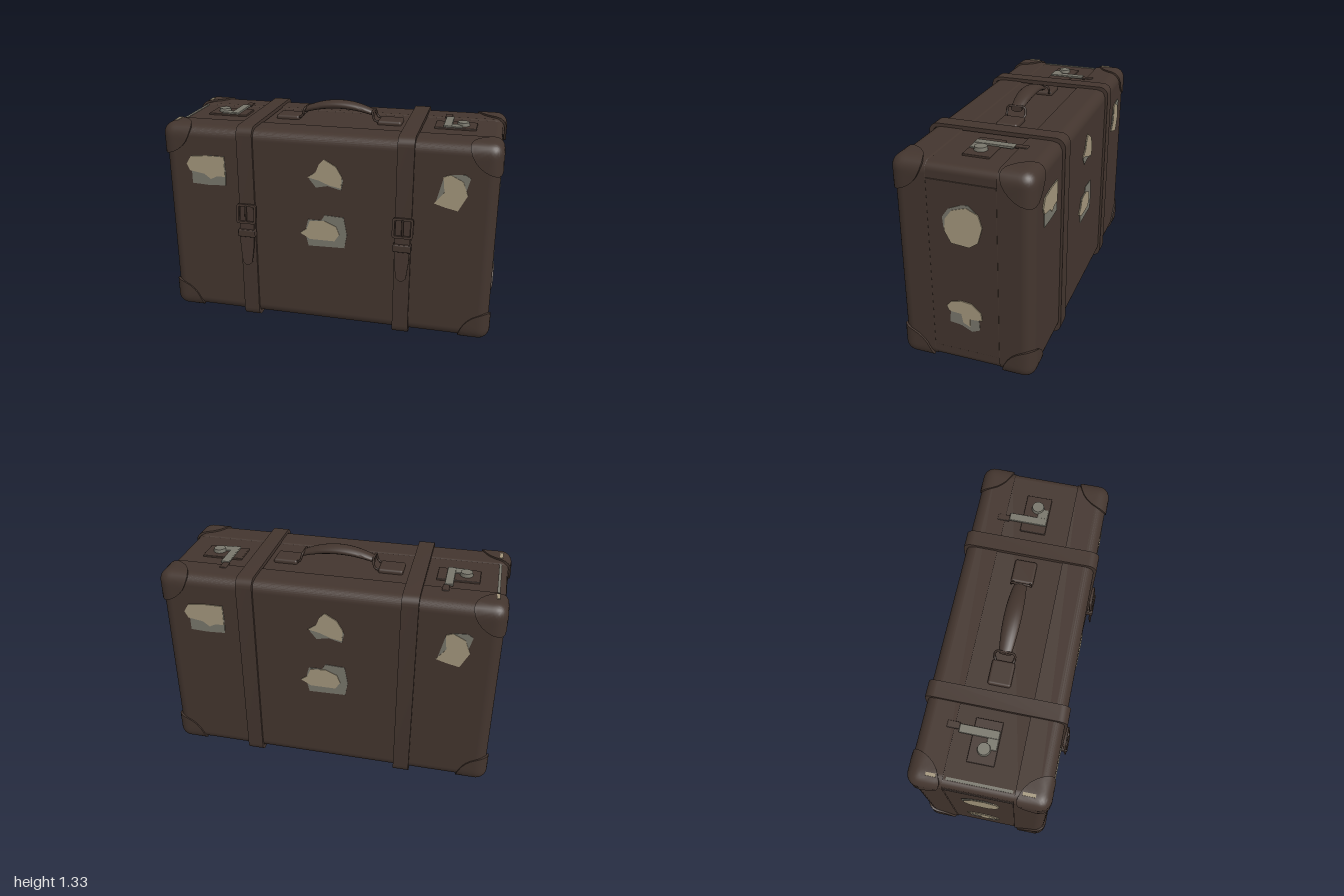
import * as THREE from 'three';
import { toCreasedNormals } from 'three/addons/utils/BufferGeometryUtils.js';
import { RoundedBoxGeometry } from 'three/addons/geometries/RoundedBoxGeometry.js';

const ZC = -0.0225, HALF_X = 0.987, HALF_Z = 0.3825, Y0 = 0.02, Y1 = 1.222;

export function createModel() {
  const suitcase = new THREE.Group();
  suitcase.name = 'suitcase';
  const mat = (name, color, side = THREE.FrontSide) => {
    const m = new THREE.MeshStandardMaterial({ color, side });
    m.name = name;
    return m;
  };
  const leather = mat('brown leather', 0x43352e, THREE.DoubleSide);
  const paper = mat('beige paper', 0xa3967c);
  const grey = mat('worn grey', 0x78766b);

  const add = (parent, name, geo, material, x = 0, y = 0, z = 0) => {
    const mesh = new THREE.Mesh(geo, material);
    mesh.name = name;
    mesh.position.set(x, y, z);
    parent.add(mesh);
    return mesh;
  };
  const box = (w, h, d, r = 0.006) => new RoundedBoxGeometry(w, h, d, 2, r);
  const poly = (pts) => new THREE.Shape(pts.map(([x, y]) => new THREE.Vector2(x, y)));
  const plate = (pts, depth) => new THREE.ExtrudeGeometry(poly(pts), { depth, bevelEnabled: false });
  const roundRect = (shape, w, h, r) => {
    shape.moveTo(-w + r, -h);
    shape.lineTo(w - r, -h).absarc(w - r, -h + r, r, -Math.PI / 2, 0);
    shape.lineTo(w, h - r).absarc(w - r, h - r, r, 0, Math.PI / 2);
    shape.lineTo(-w + r, h).absarc(-w + r, h - r, r, Math.PI / 2, Math.PI);
    shape.lineTo(-w, -h + r).absarc(-w + r, -h + r, r, Math.PI, Math.PI * 1.5);
    return shape;
  };
  // rectangular ring, lying in the xy plane
  const ring = (w, h, r, t, depth) => {
    const s = roundRect(new THREE.Shape(), w, h, r);
    s.holes.push(roundRect(new THREE.Path(), w - t, h - t, Math.max(r - t, 0.004)));
    return toCreasedNormals(new THREE.ExtrudeGeometry(s, { depth, bevelEnabled: false, curveSegments: 6 })
      .translate(0, 0, -depth / 2), 0.6);
  };
  const midY = (Y0 + Y1) / 2, H = Y1 - Y0;

  // Case: recessed middle with a rounded shell in front and behind
  add(suitcase, 'middleBody', new RoundedBoxGeometry(1.958, H - 0.024, 0.5, 3, 0.04), leather, 0, midY, ZC);
  for (const s of [1, -1]) {
    const geo = new RoundedBoxGeometry(HALF_X * 2, H, HALF_Z * 2, 5, 0.065);
    const p = geo.attributes.position;
    for (let i = 0; i < p.count; i++) p.setZ(i, s * Math.max(s * p.getZ(i), 0.193));
    add(suitcase, s > 0 ? 'frontShell' : 'backShell', geo, leather, 0, midY, ZC);
    add(suitcase, 'sidePanel', box(0.012, 1.02, 0.384, 0.003), leather, s * 0.978, midY, ZC);
  }

  // Corner caps: three quarter discs folded around a rounded corner
  const capGeometry = () => {
    const pos = [], index = [], N = 10, M = 8, R = 0.185, rad = 0.07;
    for (let f = 0; f < 3; f++) {
      const base = pos.length / 3;
      for (let i = 0; i <= N + 1; i++) for (let j = 0; j <= M; j++) {
        const r = R * Math.min(i, N) / N, a = j / M * Math.PI / 2;
        const v = [0, 0, 0];
        v[(f + 1) % 3] = r * Math.cos(a);
        v[(f + 2) % 3] = r * Math.sin(a);
        const q = v.map((c) => Math.max(c, rad));
        const d = new THREE.Vector3(...v.map((c, k) => c - q[k]));
        d.setLength(i > N ? rad - 0.016 : rad);
        pos.push(-q[0] - d.x, -q[1] - d.y, -q[2] - d.z);
      }
      for (let i = 0; i <= N; i++) for (let j = 0; j < M; j++) {
        const a = base + i * (M + 1) + j, b = a + M + 1;
        index.push(a, b, b + 1, a, b + 1, a + 1);
      }
    }
    const g = new THREE.BufferGeometry();
    g.setAttribute('position', new THREE.Float32BufferAttribute(pos, 3));
    g.setIndex(index);
    return g;
  };
  for (const sx of [1, -1]) for (const sy of [1, -1]) for (const sz of [1, -1]) {
    const g = capGeometry().scale(sx, sy, sz);
    if (sx * sy * sz < 0) g.index.array.reverse();
    add(suitcase, 'cornerCap', toCreasedNormals(g, 0.8), leather,
      sx * 0.9995, midY + sy * (H / 2 + 0.01), ZC + sz * (HALF_Z + 0.009));
  }

  // Straps with buckle, keeper and hanging tongue
  for (const x of [-0.476, 0.468]) {
    const strap = new THREE.Group();
    strap.name = 'strap';
    strap.position.x = x;
    suitcase.add(strap);
    add(strap, 'strapLoop', ring(HALF_Z + 0.015, 0.62, 0.055, 0.024, 0.096).rotateY(Math.PI / 2), leather, 0, 0.62, ZC);
    add(strap, 'buckleFrame', ring(0.061, 0.06, 0.016, 0.014, 0.018), leather, 0, 0.71, 0.39).rotation.x = -0.12;
    add(strap, 'bucklePin', box(0.012, 0.1, 0.012, 0.004), leather, 0, 0.715, 0.402);
    add(strap, 'keeper', box(0.106, 0.045, 0.045), leather, 0, 0.588, 0.389);
    // tongue cut from a plate, then bent away from the case
    const s = new THREE.Shape();
    s.moveTo(-0.042, 0.76).lineTo(-0.045, 0.6).lineTo(-0.042, 0.5).lineTo(-0.03, 0.4);
    s.quadraticCurveTo(0, 0.36, 0.03, 0.4).lineTo(0.042, 0.5).lineTo(0.045, 0.6).lineTo(0.042, 0.76);
    const tongue = new THREE.ExtrudeGeometry(s, { depth: 0.009, bevelEnabled: false });
    const p = tongue.attributes.position;
    for (let i = 0; i < p.count; i++) {
      const y = p.getY(i);
      p.setZ(i, p.getZ(i) + 0.386 + Math.max(0, 0.6 - y) * 0.08 - Math.max(0, y - 0.7) * 0.2);
    }
    tongue.computeVertexNormals();
    add(strap, 'strapTongue', tongue, leather);
  }

  // Handle: arched grip, wire loops and leather pads
  const handle = new THREE.Group();
  handle.name = 'handle';
  handle.position.z = -0.035;
  suitcase.add(handle);
  const grip = new THREE.CylinderGeometry(1, 1, 2, 16, 16).rotateZ(Math.PI / 2);
  const gp = grip.attributes.position;
  for (let i = 0; i < gp.count; i++) {
    const t = gp.getX(i), k = 1 - 0.3 * t * t;
    gp.setXYZ(i, t * 0.215, 1.307 - 0.042 * t * t + gp.getY(i) * 0.026 * k, gp.getZ(i) * 0.05 * k);
  }
  add(handle, 'grip', toCreasedNormals(grip, 0.8), leather);
  for (const s of [1, -1]) {
    const wire = new THREE.CatmullRomCurve3([[0.245, 1.225, -0.05], [0.225, 1.235, -0.056], [0.212, 1.275, -0.05],
      [0.21, 1.28, 0], [0.212, 1.275, 0.05], [0.225, 1.235, 0.056], [0.245, 1.225, 0.05]]
      .map(([x, y, z]) => new THREE.Vector3(s * x, y, z)));
    add(handle, 'handleWire', new THREE.TubeGeometry(wire, 32, 0.007, 6), leather);
    add(handle, 'handlePad', box(0.145, 0.035, 0.13, 0.014), leather, s * 0.315, 1.217, 0);
  }

  // Locks on the top
  for (const s of [1, -1]) {
    const lock = new THREE.Group();
    lock.name = 'lock';
    suitcase.add(lock);
    add(lock, 'lockPlate', box(0.245, 0.014, 0.15, 0.004), leather, s * 0.706, 1.214, -0.04);
    add(lock, 'latch', box(0.048, 0.014, 0.22, 0.004), grey, s * 0.66, 1.224, -0.08);
    add(lock, 'latchFoot', box(0.1, 0.012, 0.06, 0.004), grey, s * 0.695, 1.222, 0);
    add(lock, 'latchHook', box(0.04, 0.01, 0.07, 0.004), leather, s * 0.648, 1.222, -0.225);
    add(lock, 'lockKnob', new THREE.CylinderGeometry(0.034, 0.038, 0.024, 20), grey, s * 0.748, 1.23, -0.037);
  }

  // Worn streak along one top edge
  add(suitcase, 'wornEdge', new THREE.BoxGeometry(0.016, 0.006, 0.36), grey, -0.935, 1.211, -0.02);
  for (const [z, d] of [[-0.28, 0.055], [0.245, 0.07]])
    add(suitcase, 'wornPatch', new THREE.BoxGeometry(0.018, 0.006, d), paper, -0.935, 1.232, z);

  // Torn paper labels: a grey backing with a beige layer on top
  const faceLabels = [
    [[[-.82, .87], [-.72, .865], [-.61, .87], [-.605, .95], [-.61, 1.05], [-.72, 1.05], [-.82, 1.04], [-.845, .99], [-.82, .94]],
      [[-.83, .95], [-.74, .935], [-.7, .905], [-.66, .925], [-.61, .925], [-.61, 1.05], [-.72, 1.05], [-.82, 1.04], [-.85, .99]]],
    [[[-.09, .955], [-.05, .905], [.02, .92], [.1, .9], [.112, .96], [.08, 1.02], [0, 1.07], [-.03, 1.05], [-.05, 1]],
      [[-.1, .965], [-.03, .95], [.03, .925], [.1, .912], [.105, .98], [.07, 1.04], [0, 1.08], [-.03, 1.05], [-.05, 1]]],
    [[[-.1, .53], [.12, .535], [.135, .62], [.115, .73], [0, .735], [-.02, .7], [-.1, .7], [-.12, .62]],
      [[-.15, .61], [-.09, .575], [.06, .575], [.09, .62], [.07, .67], [0, .7], [-.09, .69], [-.11, .64]]],
    [[[.645, .88], [.7, .9], [.8, .92], [.83, 1.03], [.8, 1.05], [.72, 1.045], [.68, 1.02]],
      [[.635, .87], [.7, .85], [.77, .835], [.82, .93], [.79, 1.01], [.72, 1.045], [.68, 1.03], [.69, .94]]],
  ];
  const sideLabels = [
    [[[-.08, .87], [.03, .8], [.1, .9], [.1, .98], [.06, 1.015], [.02, 1.01], [-.05, .98], [-.085, .93]],
      [[-.075, .85], [-.04, .785], [.06, .775], [.11, .81], [.135, .9], [.115, .97], [.05, 1], [-.03, .975], [-.07, .92]]],
    [[[-.07, .29], [0, .28], [.06, .25], [.105, .27], [.1, .36], [0, .4], [-.06, .38]],
      [[-.07, .36], [.0, .355], [.01, .3], [.05, .28], [.05, .33], [.12, .335], [.115, .38], [.06, .43], [0, .437], [-.06, .42], [-.085, .39]]],
  ];
  for (const turn of [0, Math.PI]) {
    const labels = new THREE.Group();
    labels.name = turn ? 'backLabels' : 'frontLabels';
    labels.position.z = ZC;
    labels.rotation.y = turn;
    suitcase.add(labels);
    for (const [back, top] of faceLabels) {
      add(labels, 'labelBacking', plate(back, 0.003), grey, 0, 0, HALF_Z);
      add(labels, 'labelPaper', plate(top, 0.006), paper, 0, 0, HALF_Z);
    }
    for (const [back, top] of sideLabels) {
      for (const [name, pts, d, m] of [['sideLabelBacking', back, 0.003, grey], ['sideLabelPaper', top, 0.006, paper]])
        add(labels, name, plate(pts, d), m, 0.984, 0, 0.0225).rotation.y = Math.PI / 2;
    }
  }
  return suitcase;
}
